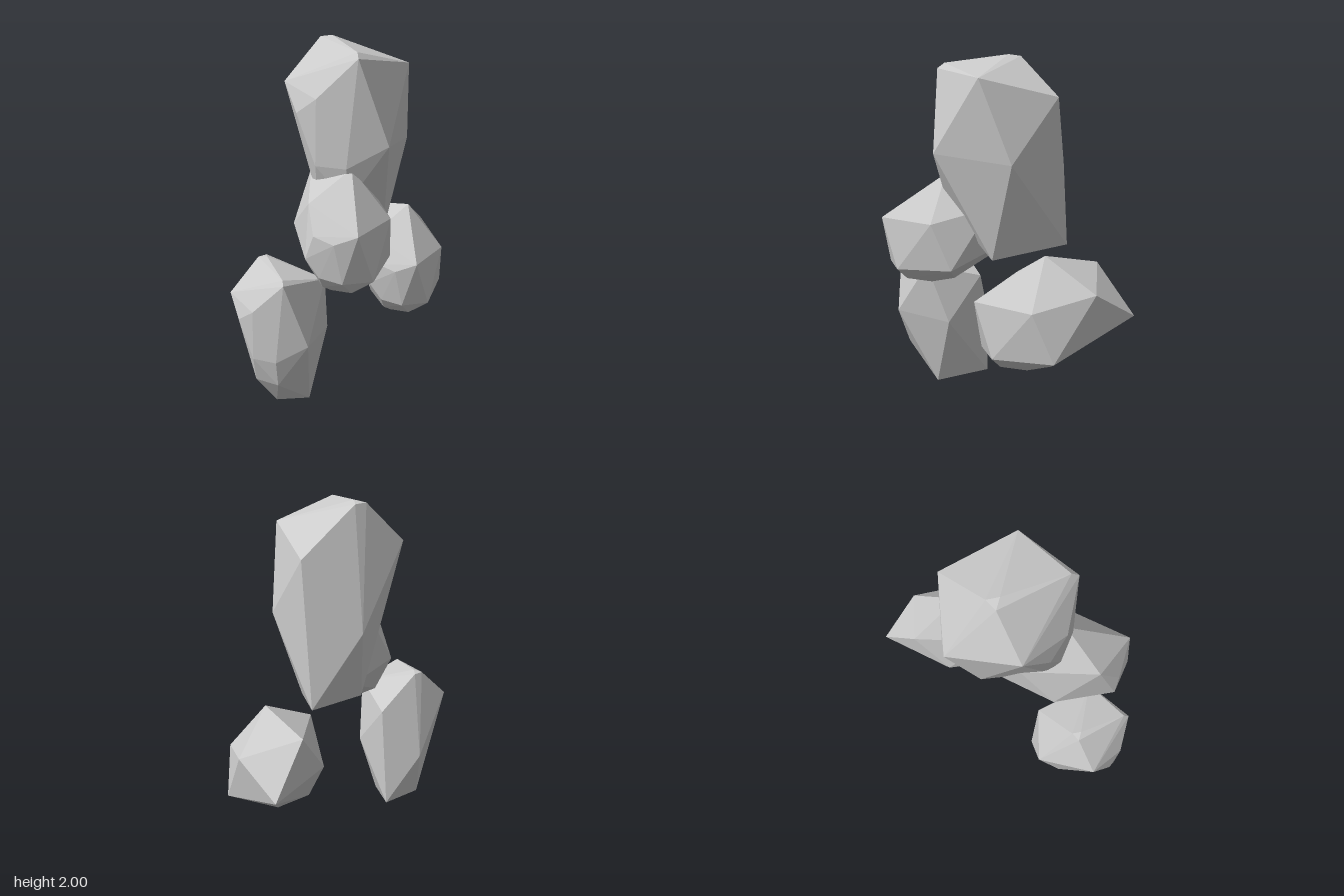
import * as THREE from 'three';
import { ConvexGeometry } from 'three/addons/geometries/ConvexGeometry.js';

const material = new THREE.MeshStandardMaterial({ color: 0xcccccc, flatShading: true });

// Faceted stone: convex hull around a few corner points
function stoneGeometry(corners) {
  return new ConvexGeometry(corners.map((c) => new THREE.Vector3(...c)));
}

// Tall stone corners
const tallCorners = [
  // top
  [-0.05, 1.99, -0.195], [0.025, 1.99, -0.2], [-0.01, 2.0, -0.14],
  [-0.11, 1.95, 0.215], [-0.13, 1.92, 0.25], [0.27, 1.86, 0.19], [0.38, 1.76, -0.24],
  // middle
  [-0.28, 1.76, -0.22], [-0.31, 1.61, -0.065], [-0.27, 1.33, 0.05], [-0.275, 1.7, 0.07],
  [-0.18, 1.33, 0.21], [0.01, 1.45, 0.34], [0.39, 1.4, 0.05], [0.13, 1.37, -0.43],
  // bottom
  [-0.22, 1.13, 0], [-0.147, 1.13, 0.18], [-0.067, 0.92, 0.03],
  [0.2, 0.86, 0.07], [0.37, 0.95, -0.31], [0.03, 0.94, -0.28],
];

// Pointed stone corners
const pointedCorners = [
  // top
  [0.525, 0.93, -0.08], [0.5, 0.865, -0.425], [0.78, 0.75, -0.24], [0.23, 0.79, -0.07],
  // middle, with the long tip at the back
  [0.725, 0.6, -0.52], [0.67, 0.66, 0.08], [0.32, 0.67, 0.24], [0.23, 0.62, 0.15],
  [0.18, 0.65, 0.04], [0.155, 0.52, 0], [0.31, 0.6, -0.33], [0.745, 0.4, -0.01],
  // bottom
  [0.455, 0.38, 0.2], [0.27, 0.4, 0.17], [0.2, 0.42, 0.06], [0.245, 0.35, 0.03],
  [0.38, 0.305, 0.11], [0.325, 0.3, 0], [0.445, 0.285, -0.02], [0.5, 0.305, -0.14],
  [0.33, 0.36, -0.2],
];

export function createModel() {
  const group = new THREE.Group();
  group.name = 'stoneCluster';
  const tall = stoneGeometry(tallCorners);
  const pointed = stoneGeometry(pointedCorners);

  const stones = [
    ['largeTallStone', tall, 1, [0, 0, 0]],
    ['smallTallStone', tall, 0.75, [-0.55, -0.645, 0.095]],
    ['leftPointedStone', pointed, 1, [0, 0, 0]],
    ['frontPointedStone', pointed, 1, [-0.66, 0.395, 0.28]],
  ];
  for (const [name, geometry, scale, position] of stones) {
    const stone = new THREE.Mesh(geometry, material);
    stone.name = name;
    stone.scale.setScalar(scale);
    stone.position.set(...position);
    group.add(stone);
  }
  return group;
}
